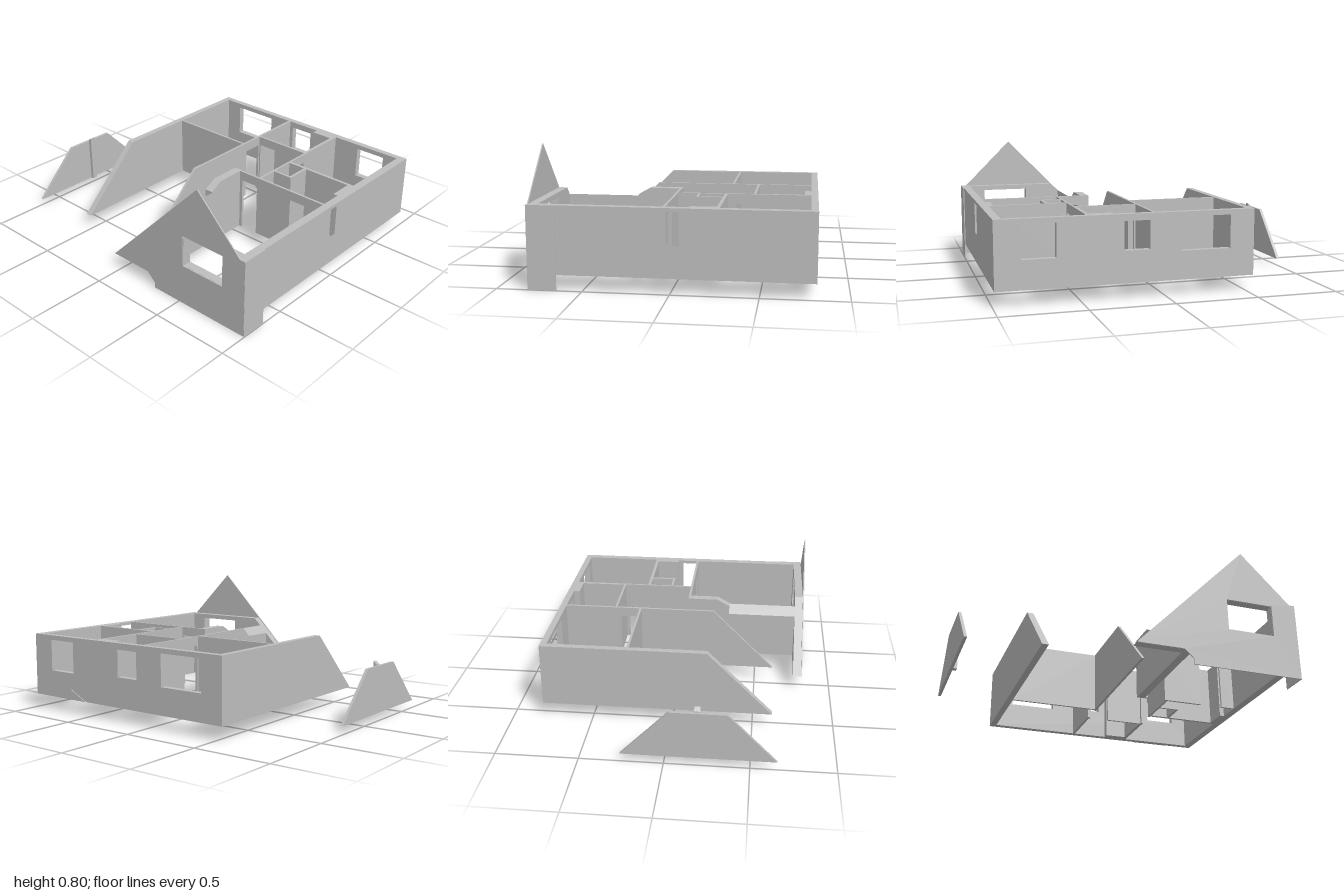
import * as THREE from 'three';

const FLOOR = 0.09, TOP = 0.49, HEAD = 0.43;

export function createModel() {
  const model = new THREE.Group();
  const plaster = new THREE.MeshStandardMaterial({ color: 0xbebebe });
  plaster.name = 'plasterGrey';

  // outline with rectangular holes, extruded by depth
  function extrude(points, holes, depth) {
    const shape = new THREE.Shape(points.map(([u, v]) => new THREE.Vector2(u, v)));
    for (const [a, b, low, high] of holes) {
      const [l, r] = [Math.min(a, b), Math.max(a, b)];
      shape.holes.push(new THREE.Path([[l, low], [l, high], [r, high], [r, low]]
        .map(([u, v]) => new THREE.Vector2(u, v))));
    }
    return new THREE.ExtrudeGeometry(shape, { depth, bevelEnabled: false });
  }
  function add(name, geometry) {
    const mesh = new THREE.Mesh(geometry, plaster);
    mesh.name = name;
    model.add(mesh);
  }
  // profile in x and y, running from z0 to z1
  function alongX(name, points, z0, z1, holes = []) {
    add(name, extrude(points, holes, z1 - z0).translate(0, 0, z0));
  }
  // profile in z and y, running from x0 to x1
  function alongZ(name, points, x0, x1, holes = []) {
    const geometry = extrude(points.map(([z, y]) => [-z, y]),
      holes.map(([a, b, low, high]) => [-a, -b, low, high]), x1 - x0);
    add(name, geometry.rotateY(Math.PI / 2).translate(x0, 0, 0));
  }
  // wall profile with doorways cut from its lower edge and an optional sloped end
  function profile(u0, u1, doors = [], topEnd = u1) {
    const points = [[u0, FLOOR]];
    for (const [a, b] of doors) points.push([a, FLOOR], [a, HEAD], [b, HEAD], [b, FLOOR]);
    points.push([u1, FLOOR], [topEnd, TOP], [u0, TOP]);
    return points;
  }

  // outer walls
  alongX('backWall', profile(-0.55, 0.99), -0.815, -0.775, [
    [-0.4, -0.1, 0.26, 0.46], [0.095, 0.25, 0.28, 0.45], [0.64, 0.84, 0.26, 0.46],
  ]);
  alongZ('rightSideWall', profile(-0.775, 0.62, [], 0.215), -0.55, -0.51);
  alongZ('leftSideWall', profile(-0.775, 0.81), 0.94, 0.99, [[-0.07, 0.03, 0.28, 0.47]]);
  const frontWindow = [0.535, 0.835, 0.26, 0.46];
  alongX('frontWall', [[-0.05, FLOOR], [0.94, FLOOR], [0.94, TOP], [0.35, TOP]],
    0.757, 0.81, [frontWindow]);

  // thin gable facing, its side return and the small back gable
  alongX('gableFacing', [[0.3, 0], [0.995, 0], [0.995, TOP], [0.96, TOP], [0.65, 0.8],
    [-0.05, FLOOR], [0.24, FLOOR], [0.3, 0.035]], 0.811, 0.818, [frontWindow]);
  alongZ('sideFacing', [[0.65, 0], [0.817, 0], [0.817, TOP], [0.65, TOP]], 0.99, 0.996);
  alongX('backGablePlate', [[0.53, FLOOR], [0.8, FLOOR], [0.665, 0.155]], -0.82, -0.815);

  // interior walls running across
  alongX('bedroomCrossWall', profile(-0.51, 0.055), -0.28, -0.265);
  alongX('kitchenCrossWall', profile(0.07, 0.45, [[0.08, 0.205]]), -0.445, -0.43);
  alongX('rearRoomCrossWall', profile(0.462, 0.94), -0.275, -0.255);
  alongX('closetCrossWall', profile(0.462, 0.595), -0.11, -0.095);
  alongX('frontRoomCrossWall', profile(0.3, 0.94, [[0.32, 0.44], [0.7, 0.85]]), 0.03, 0.045);

  // interior walls running front to back
  alongZ('mainDivider', profile(-0.775, 0.62, [[-0.42, -0.29]], 0.215), 0.055, 0.071);
  alongZ('kitchenSideWall', profile(-0.775, -0.43), 0.44, 0.462);
  alongZ('hallWall', profile(-0.43, 0.03, [[-0.41, -0.29]]), 0.448, 0.462);
  alongZ('closetSideWall', profile(-0.255, -0.11), 0.577, 0.595);

  // front room side wall, cut down to meet the roof slope
  alongZ('frontRoomSideWall', [[0.03, FLOOR], [0.31, FLOOR], [0.31, 0.445], [0.23, TOP],
    [0.03, TOP]], 0.247, 0.3);
  alongX('slopedSideWall', [[0.247, FLOOR], [0.3, FLOOR], [0.3, 0.44], [0.247, 0.387]],
    0.31, 0.757);

  // shafts against the walls
  alongX('rearShaft', profile(0.3, 0.44), -0.775, -0.735);
  alongX('sideShaft', profile(0.91, 0.94), -0.255, -0.105);

  // detached side wall with its post
  alongZ('detachedWall', [[-0.255, 0.05], [0.655, 0.05], [0.365, 0.345], [0.03, 0.345]],
    -1, -0.982);
  alongX('detachedPost', [[-0.982, 0.05], [-0.96, 0.05], [-0.96, 0.37], [-0.982, 0.35]],
    0.175, 0.21);

  return model;
}
